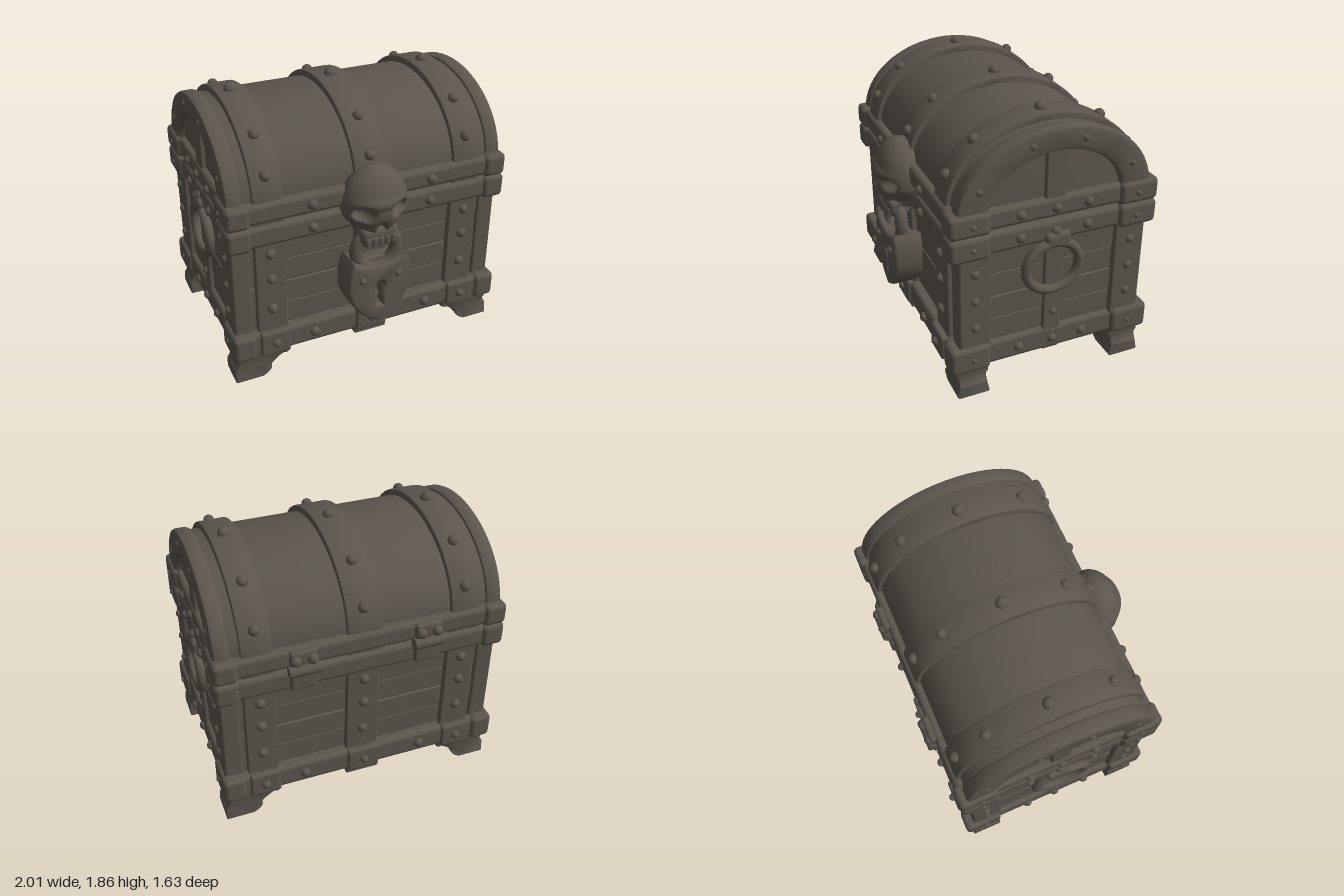
import * as THREE from 'three';
import { toCreasedNormals } from 'three/addons/utils/BufferGeometryUtils.js';
import { RoundedBoxGeometry } from 'three/addons/geometries/RoundedBoxGeometry.js';

const mat = new THREE.MeshStandardMaterial({ color: 0x5b554d });
mat.name = 'agedWood';

export function createModel() {
  const root = new THREE.Group();
  root.name = 'treasureChest';
  const chest = new THREE.Group();
  chest.name = 'chest';
  chest.position.z = -0.05;
  root.add(chest);

  const add = (name, geo, x = 0, y = 0, z = 0) => {
    const m = new THREE.Mesh(geo, mat);
    m.name = name;
    m.position.set(x, y, z);
    chest.add(m);
    return m;
  };
  // Rounded block given by its extents
  const block = (name, x0, x1, y0, y1, z0, z1, r = 0.02) =>
    add(name, new RoundedBoxGeometry(x1 - x0, y1 - y0, z1 - z0, 3, r),
      (x0 + x1) / 2, (y0 + y1) / 2, (z0 + z1) / 2);
  const rivetGeo = new THREE.SphereGeometry(1, 12, 8);
  const rivet = (x, y, z, r = 0.035) => add('rivet', rivetGeo, x, y, z).scale.setScalar(r);

  // Half-ellipse outline on short legs, spanning z (as shape x) and y
  const ARCH = 1.3, LEG = 1.2;
  const archPoints = (a, b) => {
    const pts = [new THREE.Vector2(a, LEG)];
    for (let i = 0; i <= 32; i++) {
      const t = (i / 32) * Math.PI;
      pts.push(new THREE.Vector2(a * Math.cos(t), ARCH + b * Math.sin(t)));
    }
    pts.push(new THREE.Vector2(-a, LEG));
    return pts;
  };
  const arch = (name, x, width, a, b, inA, inB, bevel = 0.012) => {
    const pts = archPoints(a - bevel, b - bevel);
    if (inA) pts.push(...archPoints(inA + bevel, inB + bevel).reverse());
    const geo = new THREE.ExtrudeGeometry(new THREE.Shape(pts), {
      depth: width - 2 * bevel, bevelSize: bevel, bevelThickness: bevel, bevelSegments: 2,
    });
    geo.translate(0, 0, bevel - width / 2);
    geo.rotateY(-Math.PI / 2);
    return add(name, toCreasedNormals(geo, 0.7), x);
  };

  // Body: core with horizontal planks
  block('bodyCore', -0.91, 0.91, 0.2, 1.2, -0.61, 0.61, 0.01);
  for (let i = 0; i < 4; i++) {
    const y = 0.37 + i * 0.168, d = i % 2 ? 0.005 : 0;
    block('plank', -0.925 - d, 0.925 + d, y, y + 0.167, -0.625 - d, 0.625 + d, 0.012);
  }
  // Bottom boards and the strap below
  for (let i = 0; i < 5; i++)
    block('bottomBoard', -0.9, 0.9, 0.19, 0.24, -0.6 + i * 0.24, -0.362 + i * 0.24, 0.01);
  block('bottomStrap', -0.12, 0.12, 0.16, 0.24, -0.69, 0.69, 0.012);

  // Lid: barrel, end trims, end boards
  arch('lidBarrel', 0, 1.83, 0.635, 0.475);
  for (const s of [-1, 1]) {
    arch('lidEndTrim', s * 0.91, 0.11, 0.655, 0.495, 0.45, 0.34, 0.025);
    block('lidEndStrap', s * 0.925 - 0.02, s * 0.925 + 0.02, 1.3, 1.66, -0.07, 0.07, 0.012);
  }

  // Vertical straps over body and lid
  for (const x of [-0.7, 0, 0.7]) {
    arch('lidStrap', x, x ? 0.2 : 0.23, 0.665, 0.52, 0.6, 0.45);
    const w = x ? 0.105 : 0.115;
    for (const s of [-1, 1]) {
      block('bodyStrap', x - w, x + w, 0.2, 1.2, s * 0.635 - 0.03, s * 0.635 + 0.03, 0.012);
      for (const y of [0.54, 0.77, 0.96]) rivet(x, y, s * 0.665);
      block('strapFoot', x - w, x + w, 0.2, 0.38, s * 0.69 - 0.025, s * 0.69 + 0.025);
      rivet(x, 0.29, s * 0.715, 0.03);
    }
    for (const t of [0.12, 0.27, 0.5, 0.71, 0.88]) {
      const a = t * Math.PI;
      rivet(x, ARCH + 0.52 * Math.sin(a), 0.665 * Math.cos(a), 0.037);
    }
    rivet(x, ARCH + 0.522, 0, 0.042);
  }

  // Horizontal bands with rivets and corner caps
  const bands = [[0.2, 0.375, 0.695], [1.03, 1.18, 0.69], [1.195, 1.335, 0.69]];
  for (const [y0, y1, hz] of bands) {
    const y = (y0 + y1) / 2;
    block('band', -0.96, 0.96, y0, y1, -hz, hz, 0.035);
    for (const s of [-1, 1]) {
      for (const x of [-0.42, 0.42]) rivet(x, y, s * hz, 0.034);
      for (const z of [-0.22, 0, 0.24]) rivet(s * 0.955, y, z, 0.034);
      for (const e of [-1, 1]) {
        const cap = block('cornerCap', 0.83, 0.988, y0 - 0.008, y1 + 0.008, 0.44, hz + 0.02, 0.035);
        cap.position.x *= s;
        cap.position.z *= e;
        rivet(s * 0.985, y, e * 0.56, 0.02);
      }
    }
  }

  // Corner posts, side straps and side rivets
  for (const s of [-1, 1]) {
    for (const e of [-1, 1]) {
      const post = block('cornerPost', 0.83, 0.96, 0.25, 1.15, 0.43, 0.648, 0.02);
      post.position.x *= s;
      post.position.z *= e;
      for (const y of [0.52, 0.72, 0.92]) rivet(s * 0.955, y, e * 0.54, 0.03);
      for (const t of [0.27, 0.8]) {
        const a = t * Math.PI / 2;
        rivet(s * 0.955, ARCH + 0.42 * Math.sin(a), e * 0.56 * Math.cos(a), 0.025);
      }
    }
    block('sideStrap', s * 0.93 - 0.025, s * 0.93 + 0.025, 0.2, 1.1, -0.06, 0.065, 0.012);
    rivet(s * 0.955, 0.5, 0, 0.025);
    // Ring handle with its bracket
    const ring = add('ringHandle', new THREE.TorusGeometry(0.185, 0.034, 12, 40), s * 0.963, 0.855, 0.015);
    ring.rotation.y = Math.PI / 2;
    ring.scale.y = 0.92;
    block('handleBracket', s * 0.96 - 0.035, s * 0.96 + 0.035, 1.0, 1.1, -0.1, 0.08, 0.033);
  }

  // Bracket feet
  const foot = new THREE.Shape();
  foot.moveTo(0.965, 0.012);
  foot.lineTo(0.79, 0.012);
  foot.quadraticCurveTo(0.73, 0.04, 0.73, 0.08);
  foot.quadraticCurveTo(0.69, 0.13, 0.6, 0.17);
  foot.lineTo(0.6, 0.22);
  foot.lineTo(0.945, 0.22);
  foot.quadraticCurveTo(0.93, 0.12, 0.965, 0.08);
  const footGeo = new THREE.ExtrudeGeometry(foot, {
    depth: 0.2, bevelSize: 0.012, bevelThickness: 0.012, bevelSegments: 2, curveSegments: 8,
  });
  footGeo.translate(0, 0, -0.1);
  // Pinch the inner waist of the foot
  const fp = footGeo.attributes.position;
  for (let i = 0; i < fp.count; i++) {
    const y = fp.getY(i);
    if (y > 0.06 && y < 0.15) fp.setZ(i, fp.getZ(i) * 0.86);
  }
  const footSmooth = toCreasedNormals(footGeo, 0.6);
  for (const z of [-0.56, 0.56])
    for (const turn of [0, Math.PI]) add('foot', footSmooth, 0, 0, z).rotation.y = turn;

  // Rear hinges
  for (const x of [-0.42, 0.42]) {
    block('hingePlate', x - 0.09, x + 0.09, 1.04, 1.33, -0.72, -0.67, 0.02);
    const barrel = add('hingeBarrel', new THREE.CylinderGeometry(0.04, 0.04, 0.2, 14), x, 1.19, -0.71);
    barrel.rotation.z = Math.PI / 2;
    for (const s of [-1, 1]) rivet(x + s * 0.055, 1.27, -0.72, 0.036);
  }

  // Padlock: backing, shield with keyhole, shackle
  block('lockBacking', -0.15, 0.15, 0.42, 0.8, 0.62, 0.74, 0.02);
  const shield = new THREE.Shape();
  shield.moveTo(0, 0.35);
  shield.bezierCurveTo(0.12, 0.4, 0.22, 0.52, 0.21, 0.66);
  shield.quadraticCurveTo(0.21, 0.76, 0.18, 0.8);
  shield.quadraticCurveTo(0.09, 0.75, 0, 0.75);
  shield.quadraticCurveTo(-0.09, 0.75, -0.18, 0.8);
  shield.quadraticCurveTo(-0.21, 0.76, -0.21, 0.66);
  shield.bezierCurveTo(-0.22, 0.52, -0.12, 0.4, 0, 0.35);
  const key = new THREE.Path();
  key.moveTo(-0.045, 0.44);
  key.lineTo(-0.025, 0.56);
  key.absarc(0, 0.62, 0.05, Math.PI * 1.25, -Math.PI * 0.25, true);
  key.lineTo(0.045, 0.44);
  key.closePath();
  shield.holes.push(key);
  const shieldGeo = new THREE.ExtrudeGeometry(shield, {
    depth: 0.14, bevelSize: 0.02, bevelThickness: 0.035, bevelSegments: 4, curveSegments: 12,
  });
  add('lockShield', toCreasedNormals(shieldGeo, 0.8), 0, 0, 0.65);
  for (const s of [-1, 1]) rivet(s * 0.13, 0.69, 0.825, 0.025);
  add('shackle', new THREE.TorusGeometry(0.145, 0.045, 12, 32), 0, 0.87, 0.74);

  // Skull clasp: sphere shaped into cranium, sockets, nose and jaw
  const skull = new THREE.SphereGeometry(1, 80, 64);
  const sp = skull.attributes.position;
  const dent = (x, y, cx, cy, rx, ry) => Math.exp(-Math.pow(((x - cx) / rx) ** 2 + ((y - cy) / ry) ** 2, 2));
  for (let i = 0; i < sp.count; i++) {
    const v = new THREE.Vector3().fromBufferAttribute(sp, i);
    const jaw = THREE.MathUtils.smoothstep(-v.y, 0.1, 0.55);
    const x = v.x * (0.228 - 0.045 * jaw), y = v.y * 0.265;
    let z = v.z * (0.175 - 0.01 * jaw);
    if (v.z > 0) {
      z -= 0.08 * (dent(x, y, 0.125, -0.005, 0.055, 0.045) + dent(x, y, -0.125, -0.005, 0.055, 0.045));
      z -= 0.05 * dent(x, y, 0, -0.13, 0.03, 0.045);
      z -= 0.03 * (dent(x, y, 0.15, -0.12, 0.04, 0.05) + dent(x, y, -0.15, -0.12, 0.04, 0.05));
      z += 0.015 * dent(x, y, 0, 0.06, 0.17, 0.03);
    }
    sp.setXYZ(i, x, y, z);
  }
  skull.computeVertexNormals();
  add('skull', skull, 0, 1.19, 0.685);
  block('skullJaw', -0.13, 0.13, 0.93, 1.06, 0.66, 0.815, 0.04);
  for (let i = -2; i <= 2; i++) block('tooth', i * 0.045 - 0.02, i * 0.045 + 0.02, 0.93, 1.0, 0.76, 0.825, 0.015);

  return root;
}
